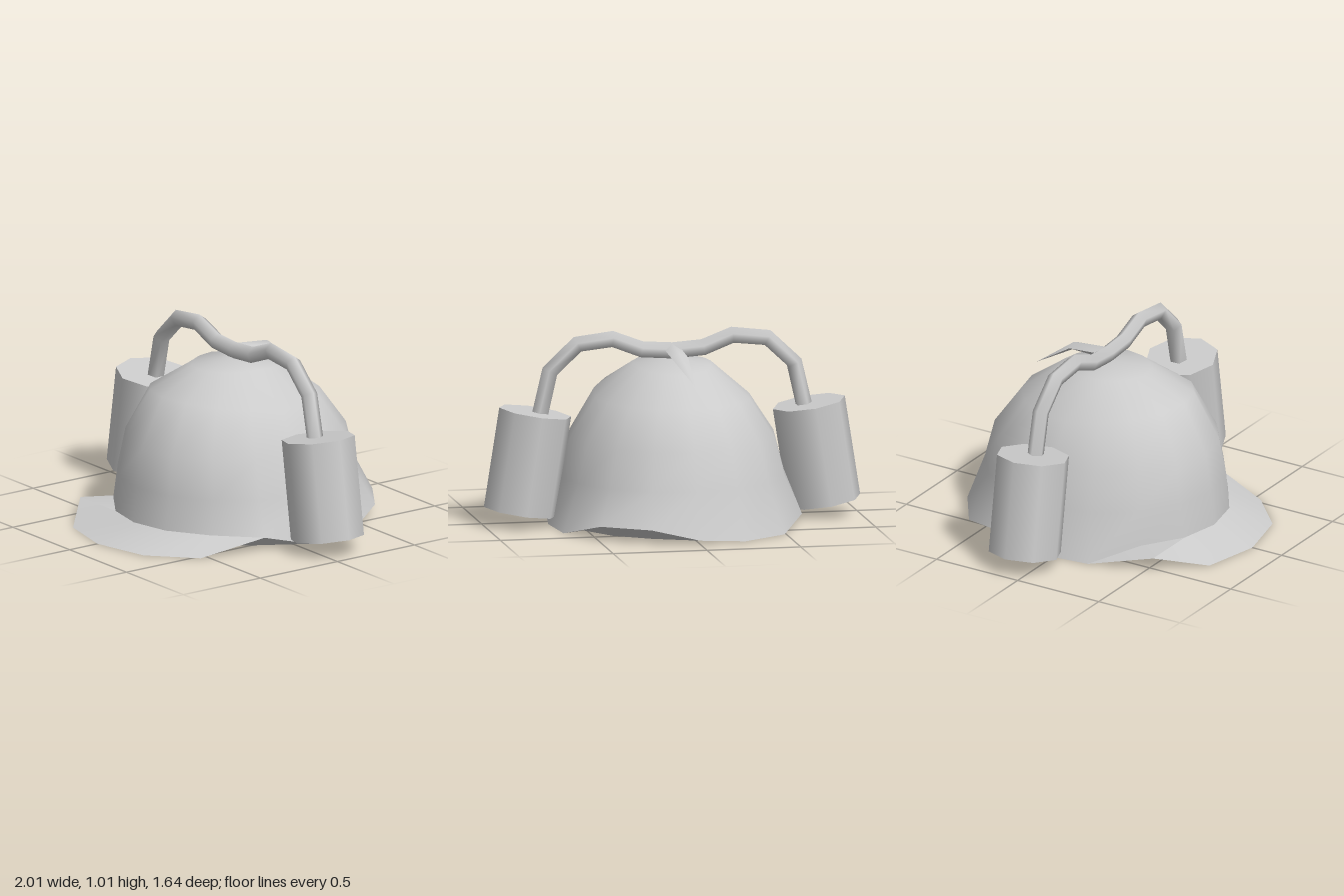
import * as THREE from 'three';
import { toCreasedNormals } from 'three/addons/utils/BufferGeometryUtils.js';

const material = new THREE.MeshStandardMaterial({ color: 0xcccccc, side: THREE.DoubleSide });
const SIDES = 16;
const CENTER_Z = -0.075;

// Skins a list of closed cross-sections, leaving out collapsed triangles.
function loft(rows, crease) {
  const positions = [];
  const triangle = new THREE.Triangle();
  const add = (a, b, c) => {
    if (triangle.set(a, b, c).getArea() < 1e-7) return;
    for (const p of [a, b, c]) positions.push(p.x, p.y, p.z);
  };
  for (let i = 0; i < rows.length - 1; i++) {
    const n = rows[i].length;
    for (let j = 0; j < n; j++) {
      const k = (j + 1) % n;
      add(rows[i][j], rows[i + 1][j], rows[i][k]);
      add(rows[i][k], rows[i + 1][j], rows[i + 1][k]);
    }
  }
  const geometry = new THREE.BufferGeometry();
  geometry.setAttribute('position', new THREE.Float32BufferAttribute(positions, 3));
  return toCreasedNormals(geometry, crease);
}

// Egg-shaped ring: half width, front and back reach, then front, side and back height.
function ring([width, front, back, yFront, ySide, yBack]) {
  return Array.from({ length: SIDES }, (_, i) => {
    const angle = (i / SIDES) * Math.PI * 2;
    const c = Math.cos(angle);
    const y = THREE.MathUtils.lerp(ySide, c > 0 ? yFront : yBack, Math.abs(c));
    return new THREE.Vector3(Math.sin(angle) * width, y, CENTER_Z + c * (c > 0 ? front : back));
  });
}

// Ring from half a plan (front, left side, back) mirrored across x, with a height per corner.
function planRing(half, heights) {
  return heights.map((y, i) => {
    const [x, z] = half[Math.min(i, SIDES - i)];
    return new THREE.Vector3(i > SIDES / 2 ? -x : x, y, z);
  });
}

function addMesh(group, name, geometry) {
  const mesh = new THREE.Mesh(geometry, material);
  mesh.name = name;
  group.add(mesh);
  return mesh;
}

function addHelmet(group) {
  // Uneven lower edge: raised above the brim, with a few lifted corners at the back
  const up = 0.075;
  const back = [[0.63, 0.2], [0.66, -0.075], [0.635, -0.36], [0.49, -0.62], [0.25, -0.78], [0, -0.825]];
  const backHeights = [up, 0, 0, up, up, 0.02, 0, 0, 0.06, 0, 0];
  const rim = planRing([[0, 0.585], [0.22, 0.54], [0.43, 0.4], ...back],
    [up, up, up, ...backHeights, up, up]);
  // Brim edge joins the rim at the sides and reaches out at the front
  const brimEdge = planRing([[0, 0.82], [0.31, 0.75], [0.53, 0.54], ...back],
    [0, 0, 0, ...backHeights, up, 0]);

  const outerRings = [
    [0, 0, 0, 0.865, 0.865, 0.865],
    [0.205, 0.245, 0.255, 0.836, 0.838, 0.81],
    [0.41, 0.475, 0.465, 0.725, 0.66, 0.66],
    [0.54, 0.61, 0.61, 0.46, 0.46, 0.46],
    [0.595, 0.64, 0.66, 0.26, 0.25, 0.26],
  ].map(ring);
  addMesh(group, 'helmetShell', loft([...outerRings, rim], 0.9));

  const opening = ring([0.56, 0.62, 0.58, 0, 0, 0]);
  addMesh(group, 'brim', loft([rim, brimEdge, opening], 0.3));

  const innerRings = [
    [0.55, 0.61, 0.595, 0.26, 0.25, 0.25],
    [0.512, 0.582, 0.578, 0.45, 0.45, 0.45],
    [0.39, 0.45, 0.44, 0.7, 0.64, 0.64],
    [0.195, 0.235, 0.245, 0.807, 0.808, 0.785],
    [0, 0, 0, 0.835, 0.835, 0.835],
  ].map(ring);
  addMesh(group, 'helmetInterior', loft([opening, ...innerRings], 0.9));
}

function addCans(group) {
  for (const side of [-1, 1]) {
    const geometry = new THREE.CylinderGeometry(0.194, 0.194, 0.53, 8);
    const can = addMesh(group, side > 0 ? 'leftCan' : 'rightCan', geometry);
    can.position.set(side * 0.77, 0.335, CENTER_Z);
    can.rotation.z = side * 0.155;
  }
}

function addStraw(group) {
  // Five-sided tube bent from one can over the crown to the other
  const half = [[0.71, 0.55], [0.65, 0.81], [0.505, 0.947], [0.32, 0.968], [0.165, 0.908]];
  const path = [
    ...half.map(([x, y]) => new THREE.Vector2(-x, y)),
    new THREE.Vector2(0, 0.896),
    ...half.slice().reverse().map(([x, y]) => new THREE.Vector2(x, y)),
  ];
  const radius = 0.045;
  const rows = path.map((p, i) => {
    const before = path[Math.max(i - 1, 0)];
    const after = path[Math.min(i + 1, path.length - 1)];
    const t = after.clone().sub(before).normalize();
    return Array.from({ length: 5 }, (_, j) => {
      const a = (j / 5) * Math.PI * 2;
      const rise = Math.cos(a) * radius;
      return new THREE.Vector3(p.x - t.y * rise, p.y + t.x * rise, CENTER_Z - Math.sin(a) * radius);
    });
  });
  addMesh(group, 'straw', loft(rows, 1.4));

  // Mouthpiece branch that trails backwards to a point
  const section = (z, points) => points.map(([x, y]) => new THREE.Vector3(x, y, z));
  const tip = Array(4).fill([-0.045, 0.77]);
  addMesh(group, 'strawMouthpiece', loft([
    section(CENTER_Z, [[0.045, 0.91], [0, 0.935], [-0.045, 0.91], [0, 0.865]]),
    section(-0.28, [[0.045, 0.895], [0, 0.915], [-0.045, 0.895], [0, 0.875]]),
    section(-0.48, tip),
  ], 1.4));
}

export function createModel() {
  const group = new THREE.Group();
  group.name = 'drinkingHelmet';
  addHelmet(group);
  addCans(group);
  addStraw(group);
  return group;
}
